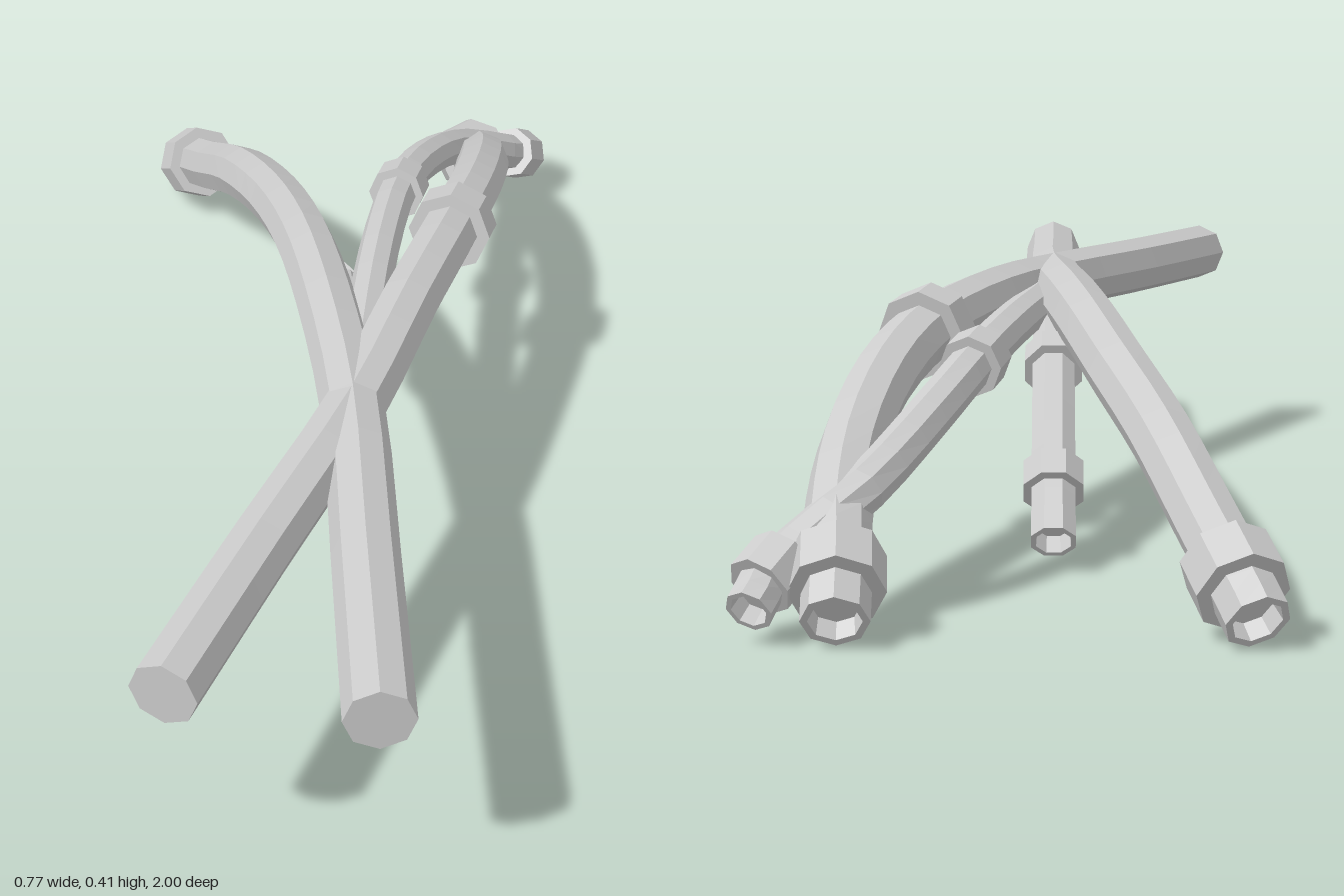
import * as THREE from 'three';

const SIDES = 8;
const UP = new THREE.Vector3(0, 1, 0);
const material = new THREE.MeshStandardMaterial({ color: 0xcccccc, flatShading: true });

// Skin octagonal sections; each station is { p: centre, t: direction, r: radius }
function sweep(stations, turn) {
  const pos = [], index = [];
  for (const { p, t, r } of stations) {
    const side = new THREE.Vector3().crossVectors(t, UP).normalize();
    const top = new THREE.Vector3().crossVectors(side, t);
    for (let j = 0; j < SIDES; j++) {
      const a = (j / SIDES) * Math.PI * 2 + turn;
      const v = p.clone().addScaledVector(side, Math.cos(a) * r).addScaledVector(top, Math.sin(a) * r);
      pos.push(v.x, v.y, v.z);
    }
  }
  for (let i = 0; i < stations.length - 1; i++) {
    for (let j = 0; j < SIDES; j++) {
      const k = (j + 1) % SIDES, a = i * SIDES, b = a + SIDES;
      index.push(a + j, b + j, a + k, b + j, b + k, a + k);
    }
  }
  const g = new THREE.BufferGeometry();
  g.setAttribute('position', new THREE.Float32BufferAttribute(pos, 3));
  g.setIndex(index);
  g.computeVertexNormals();
  return g;
}

// Section at distance d along the local direction of a curve point
function station(curve, u, r, d = 0) {
  const t = curve.getTangent(u);
  return { p: curve.getPoint(u).addScaledVector(t, d), t, r };
}

// Curve parameter at which the pipe reaches depth z (z always falls along a pipe)
function paramAtZ(curve, z) {
  let lo = 0, hi = 1;
  for (let i = 0; i < 30; i++) {
    const mid = (lo + hi) / 2;
    if (curve.getPoint(mid).z > z) lo = mid; else hi = mid;
  }
  return lo;
}

function makePipe({ name, points, radius, tip = radius, collars, turn = 0 }) {
  const group = new THREE.Group();
  group.name = name;
  const curve = new THREE.CatmullRomCurve3(points.map((p) => new THREE.Vector3(...p)), false, 'centripetal');
  const add = (partName, geometry) => {
    const mesh = new THREE.Mesh(geometry, material);
    mesh.name = partName;
    group.add(mesh);
  };

  // Pipe body: closed start, recessed mouth at the far end
  const n = (points.length - 1) * 3;
  const body = [station(curve, 0, 0)];
  for (let i = 0; i <= n; i++) body.push(station(curve, i / n, radius + (tip - radius) * (i / n)));
  body.push(station(curve, 1, tip * 0.78), station(curve, 1, tip * 0.72, -0.03), station(curve, 1, 0, -0.03));
  add(name + 'Body', sweep(body, turn));

  // Collars: short raised bands
  for (const { z, r, length } of collars) {
    const u = paramAtZ(curve, z), h = length / 2;
    add(name + 'Collar', sweep([
      station(curve, u, radius * 0.8, -h), station(curve, u, r, -h),
      station(curve, u, r, h), station(curve, u, radius * 0.8, h),
    ], turn));
  }
  return group;
}

export function createModel() {
  const model = new THREE.Group();
  model.name = 'branchingPipes';
  const pipes = [
    {
      name: 'leftMainPipe', radius: 0.051, tip: 0.047,
      points: [[-0.34, 0.353, 0.93], [-0.2, 0.355, 0.62], [-0.056, 0.359, 0.31], [0.05, 0.362, 0.02],
        [0.145, 0.34, -0.25], [0.2, 0.295, -0.45], [0.235, 0.22, -0.66], [0.243, 0.145, -0.81],
        [0.237, 0.09, -0.91], [0.235, 0.045, -0.975]],
      collars: [{ z: -0.25, r: 0.07, length: 0.06 }, { z: -0.905, r: 0.067, length: 0.07 }],
    },
    {
      name: 'rightMainPipe', radius: 0.051, tip: 0.047,
      points: [[-0.052, 0.355, 1], [-0.052, 0.357, 0.65], [-0.053, 0.36, 0.3], [-0.08, 0.36, 0],
        [-0.11, 0.342, -0.22], [-0.15, 0.3, -0.42], [-0.205, 0.235, -0.62], [-0.255, 0.155, -0.78],
        [-0.295, 0.09, -0.91], [-0.32, 0.045, -0.972]],
      collars: [{ z: -0.905, r: 0.067, length: 0.07 }],
    },
    {
      name: 'leftBranchPipe', radius: 0.034,
      points: [[-0.05, 0.35, 0.28], [-0.025, 0.345, 0.08], [0.015, 0.34, -0.18], [0.065, 0.315, -0.42],
        [0.13, 0.258, -0.62], [0.21, 0.185, -0.78], [0.325, 0.095, -0.9], [0.35, 0.055, -0.96]],
      collars: [{ z: -0.42, r: 0.048, length: 0.06 }, { z: -0.9, r: 0.048, length: 0.06 }],
    },
    {
      name: 'lowerBranchPipe', radius: 0.036, turn: Math.PI / 8,
      points: [[-0.052, 0.35, 0.25], [-0.052, 0.325, 0.05], [-0.052, 0.275, -0.13], [-0.052, 0.21, -0.27],
        [-0.052, 0.128, -0.39], [-0.052, 0.052, -0.48]],
      collars: [{ z: -0.135, r: 0.049, length: 0.05 }, { z: -0.39, r: 0.049, length: 0.05 }],
    },
  ];
  for (const p of pipes) model.add(makePipe(p));
  return model;
}
